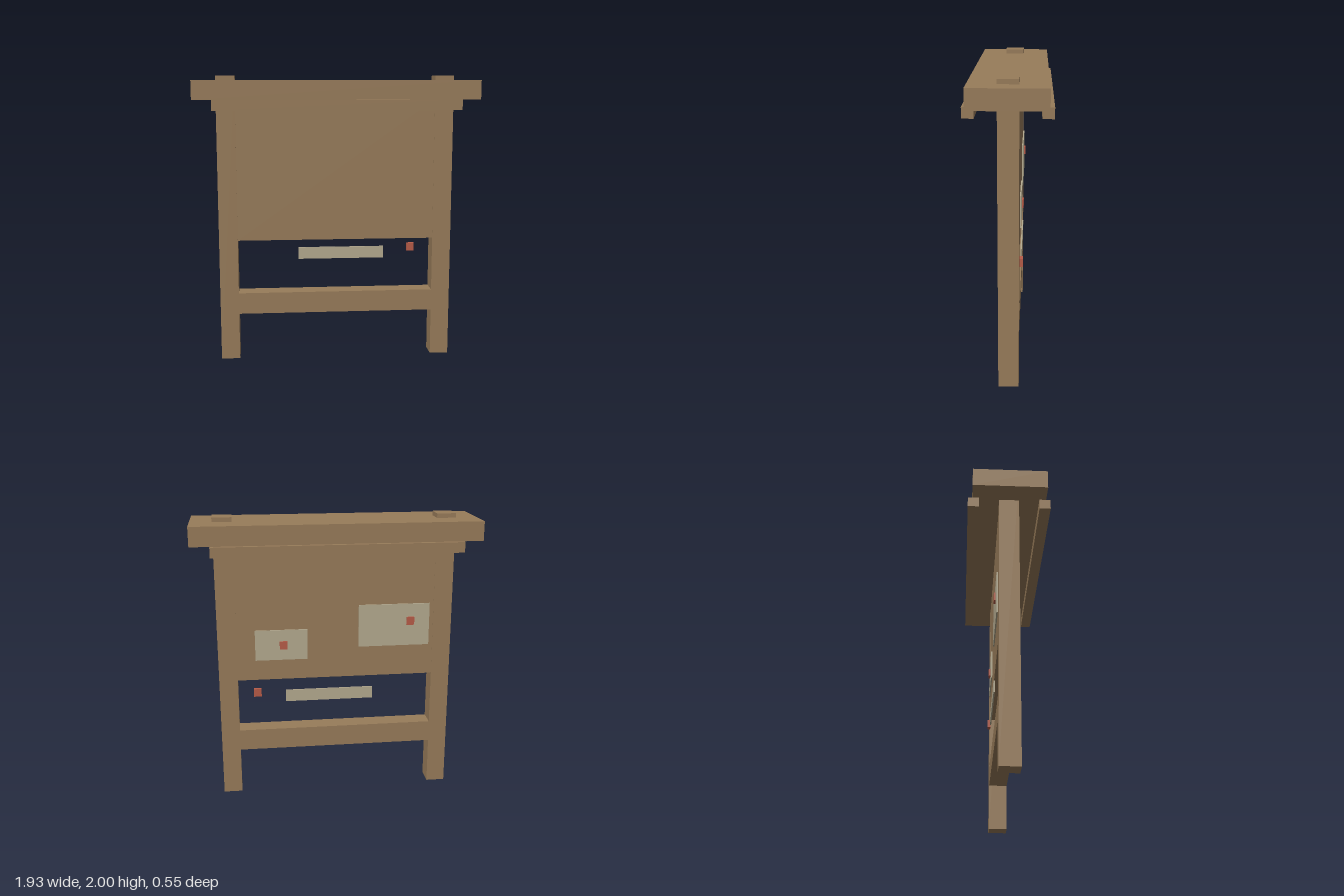
import * as THREE from 'three';

export function createModel() {
  const model = new THREE.Group();
  model.name = 'noticeBoard';

  const material = (name, color) => {
    const m = new THREE.MeshStandardMaterial({ color });
    m.name = name;
    return m;
  };
  const wood = material('wood', 0x987c5a);
  const paper = material('paper', 0xb5ab90);
  const pinRed = material('pinRed', 0xb85c48);

  // Box given by its lower and upper limits on each axis
  const box = (name, mat, [x0, x1], [y0, y1], [z0, z1]) => {
    const mesh = new THREE.Mesh(new THREE.BoxGeometry(x1 - x0, y1 - y0, z1 - z0), mat);
    mesh.position.set((x0 + x1) / 2, (y0 + y1) / 2, (z0 + z1) / 2);
    mesh.name = name;
    model.add(mesh);
    return mesh;
  };

  // Posts pass through the roof plank and stick out on top
  box('leftPost', wood, [0.69, 0.82], [0, 2], [-0.066, 0.066]);
  box('rightPost', wood, [-0.82, -0.69], [0, 2], [-0.066, 0.066]);

  // Roof plank with a batten under each long edge
  box('roof', wood, [-0.967, 0.967], [1.84, 1.97], [-0.245, 0.245]);
  box('frontBatten', wood, [-0.835, 0.835], [1.77, 1.84], [0.2, 0.274]);
  box('backBatten', wood, [-0.835, 0.835], [1.77, 1.84], [-0.274, -0.2]);

  // Board and lower rail between the posts
  box('board', wood, [-0.69, 0.69], [0.86, 1.84], [-0.064, 0.064]);
  box('lowerRail', wood, [-0.69, 0.69], [0.33, 0.48], [-0.066, 0.066]);

  // Paper notes on the back, the last one hanging below the board
  const notes = [
    [[0.2, 0.563], [1.005, 1.22]],
    [[-0.66, -0.16], [1.08, 1.38]],
    [[-0.262, 0.357], [0.693, 0.778]],
  ];
  notes.forEach(([x, y], i) => box(`note${i + 1}`, paper, x, y, [-0.075, -0.066]));

  // Square pins
  const pins = [[0.366, 1.112], [-0.524, 1.258], [0.555, 0.77]];
  pins.forEach(([x, y], i) =>
    box(`pin${i + 1}`, pinRed, [x - 0.027, x + 0.027], [y - 0.028, y + 0.028], [-0.087, -0.065]));

  return model;
}
